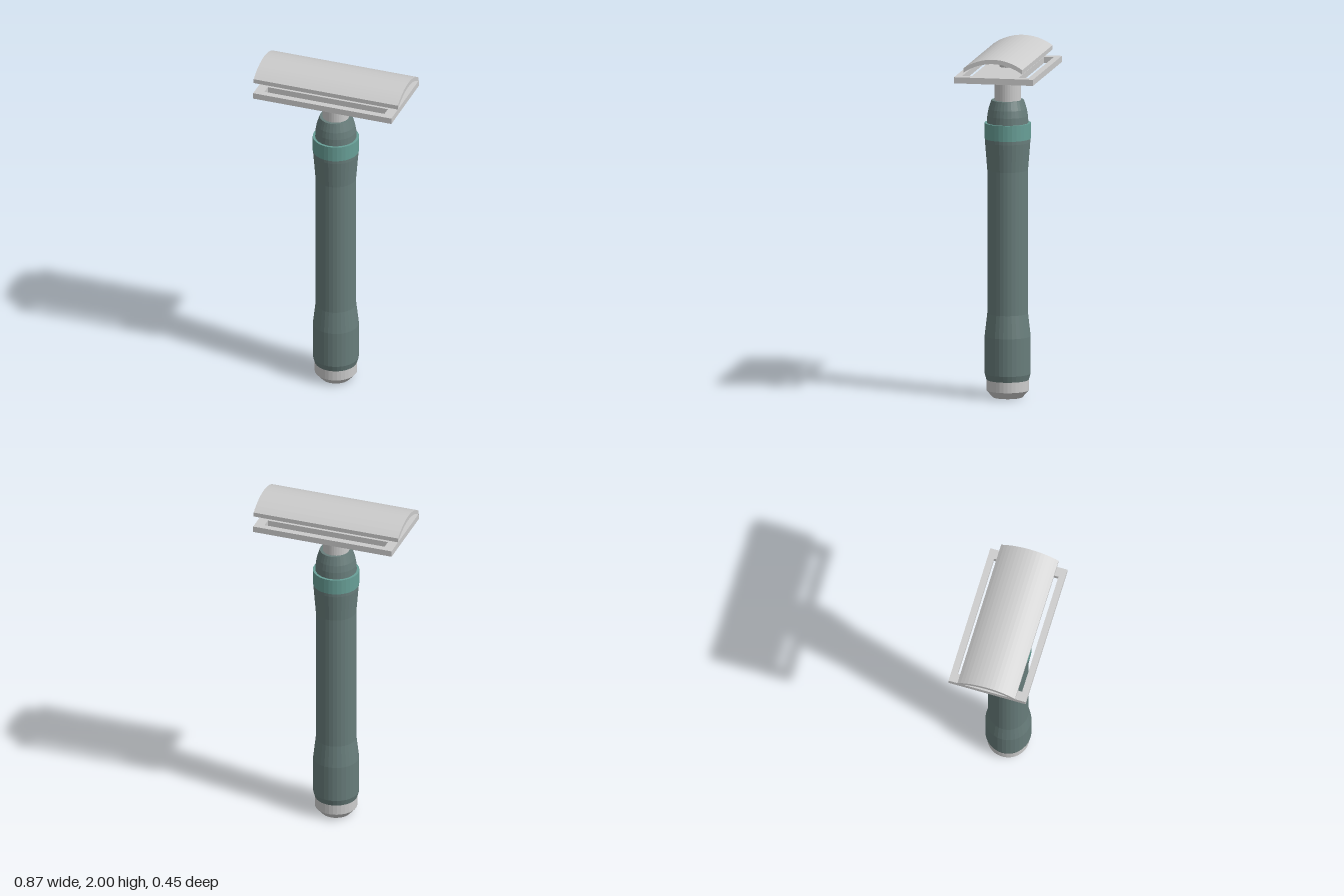
import * as THREE from 'three';

const GREY = 0xcccccc, GRIP = 0x687d7b, BAND = 0x689f97;

function part(name, geometry, color = GREY) {
  const material = new THREE.MeshStandardMaterial({ color, flatShading: true });
  const mesh = new THREE.Mesh(geometry, material);
  mesh.name = name;
  return mesh;
}

// Solid of revolution from [radius, height] pairs, closed at both ends
function turned(name, profile, color, sides = 32) {
  const first = profile[0], last = profile[profile.length - 1];
  const points = [[0, first[1]], ...profile, [0, last[1]]].map(([r, y]) => new THREE.Vector2(r, y));
  return part(name, new THREE.LatheGeometry(points, sides), color);
}

// Rectangle outline, counter-clockwise
function rectangle(Kind, x0, x1, y0, y1) {
  const path = new Kind();
  path.moveTo(x0, y0);
  path.lineTo(x1, y0);
  path.lineTo(x1, y1);
  path.lineTo(x0, y1);
  path.closePath();
  return path;
}

// Flat guard plate with a long slot beside each edge
function guardPlate() {
  const shape = rectangle(THREE.Shape, -0.415, 0.415, -0.227, 0.227);
  for (const side of [-1, 1]) {
    const a = side * 0.19, b = side * 0.135;
    shape.holes.push(rectangle(THREE.Path, -0.36, 0.36, Math.min(a, b), Math.max(a, b)));
  }
  const geometry = new THREE.ExtrudeGeometry(shape, { depth: 0.035, bevelEnabled: false });
  geometry.rotateX(-Math.PI / 2);
  geometry.translate(0, 1.855, -0.002);
  return part('guardPlate', geometry);
}

// Arched cap: an arc band swept along x
function archedCap() {
  const half = 0.169, sag = 0.054, thickness = 0.025, steps = 16;
  const radius = (half * half + sag * sag) / (2 * sag);
  const sweep = Math.asin(half / radius);
  const arc = [];
  for (let i = 0; i <= steps; i++) {
    const angle = sweep * (1 - 2 * i / steps);
    arc.push(new THREE.Vector2(radius * Math.sin(angle), 2 - radius * (1 - Math.cos(angle))));
  }
  const under = arc.map(p => new THREE.Vector2(p.x, p.y - thickness)).reverse();
  const geometry = new THREE.ExtrudeGeometry(new THREE.Shape([...arc, ...under]), { depth: 0.866, bevelEnabled: false });
  geometry.translate(0, 0, -0.433);
  geometry.rotateY(Math.PI / 2);
  geometry.translate(0, 0, -0.002);
  return part('archedCap', geometry);
}

export function createModel() {
  const model = new THREE.Group();
  model.name = 'safetyRazor';

  // Handle, from the foot upwards
  model.add(
    turned('endCap', [[0.085, 0], [0.12, 0.04], [0.12, 0.1]]),
    turned('grip', [[0.12, 0.1], [0.13, 0.135], [0.13, 0.35], [0.115, 0.48],
      [0.115, 1.3], [0.128, 1.46], [0.128, 1.48]], GRIP),
    turned('gripBand', [[0.131, 1.48], [0.131, 1.57]], BAND),
    turned('collar', [[0.117, 1.57], [0.115, 1.61], [0.108, 1.65], [0.092, 1.7]], GRIP),
    turned('neck', [[0.075, 1.7], [0.075, 1.8]]),
    turned('flare', [[0.075, 1.8], [0.132, 1.855]])
  );

  // Head
  model.add(
    guardPlate(),
    turned('centrePost', [[0.045, 1.885], [0.045, 1.98]], GREY, 24),
    archedCap()
  );
  return model;
}
